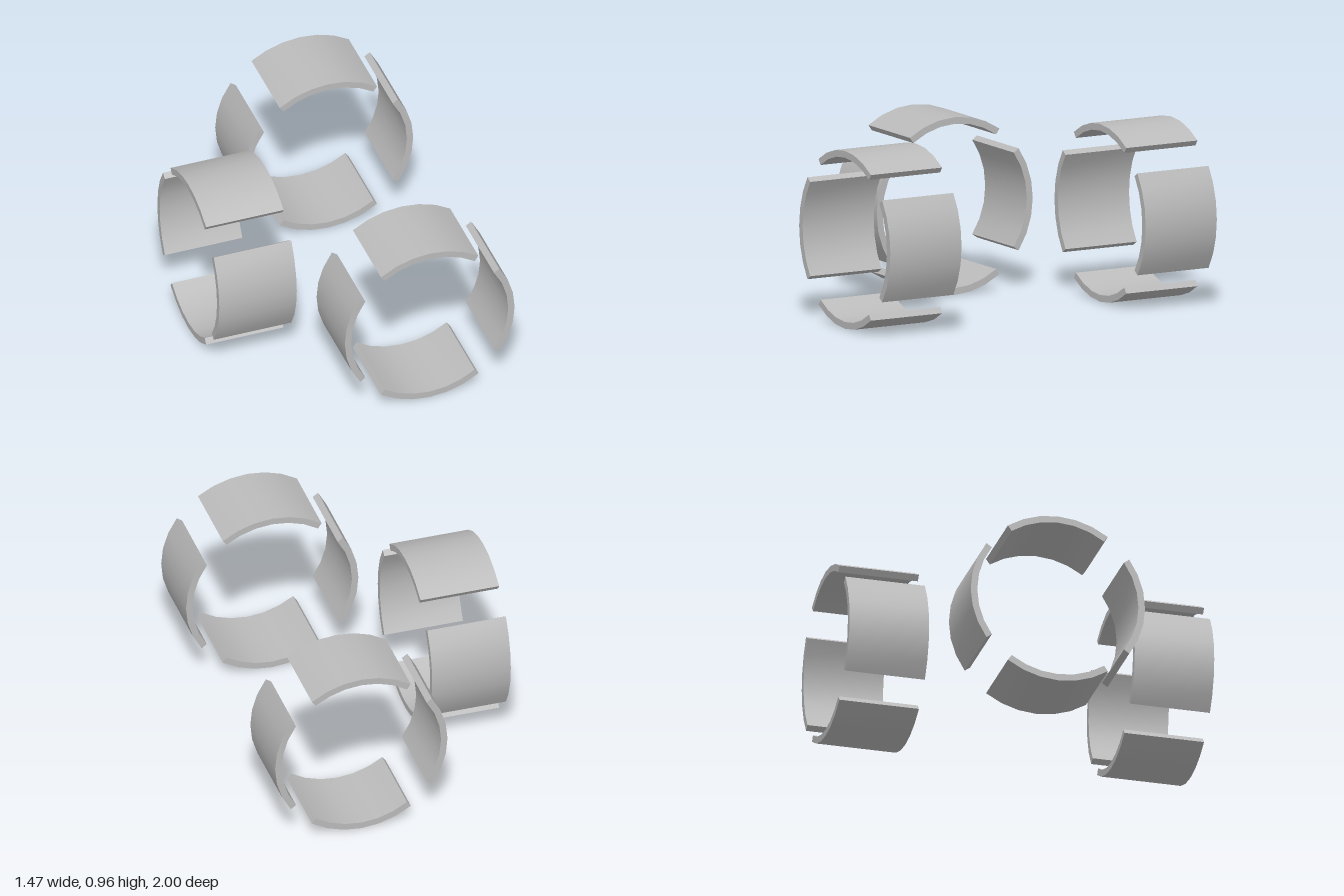
import * as THREE from 'three';
import { toCreasedNormals } from 'three/addons/utils/BufferGeometryUtils.js';

const OUTER = 0.478, INNER = 0.442, LENGTH = 0.436;
const HALF_ARC = THREE.MathUtils.degToRad(35);

// One curved shell: a 70 degree arc with radial ends, extruded along z and centred
function createShellGeometry() {
  const shape = new THREE.Shape();
  shape.absarc(0, 0, OUTER, -HALF_ARC, HALF_ARC, false);
  shape.absarc(0, 0, INNER, HALF_ARC, -HALF_ARC, true);
  shape.closePath();
  const geometry = new THREE.ExtrudeGeometry(shape, {
    depth: LENGTH, bevelEnabled: false, curveSegments: 3,
  });
  geometry.translate(0, 0, -LENGTH / 2);
  return toCreasedNormals(geometry, Math.PI / 6);
}

export function createModel() {
  const model = new THREE.Group();
  model.name = 'splitRings';
  const grey = new THREE.MeshStandardMaterial({ color: 0xbbbbbb });
  grey.name = 'plainGrey';
  const shell = createShellGeometry();

  // Ring of four separate shells
  function addRing(name, x, z, turn) {
    const ring = new THREE.Group();
    ring.name = name;
    ['sideShellA', 'topShell', 'sideShellB', 'bottomShell'].forEach((part, i) => {
      const mesh = new THREE.Mesh(shell, grey);
      mesh.name = part;
      mesh.rotation.z = i * Math.PI / 2;
      ring.add(mesh);
    });
    ring.position.set(x, OUTER, z);
    ring.rotation.y = turn;
    model.add(ring);
  }

  // Two rings facing front and back, one turned sideways between them
  addRing('frontRing', 0.258, 1 - LENGTH / 2, 0);
  addRing('backRing', 0.258, -1 + LENGTH / 2, 0);
  addRing('sideRing', -0.736 + LENGTH / 2, 0, Math.PI / 2);
  return model;
}
